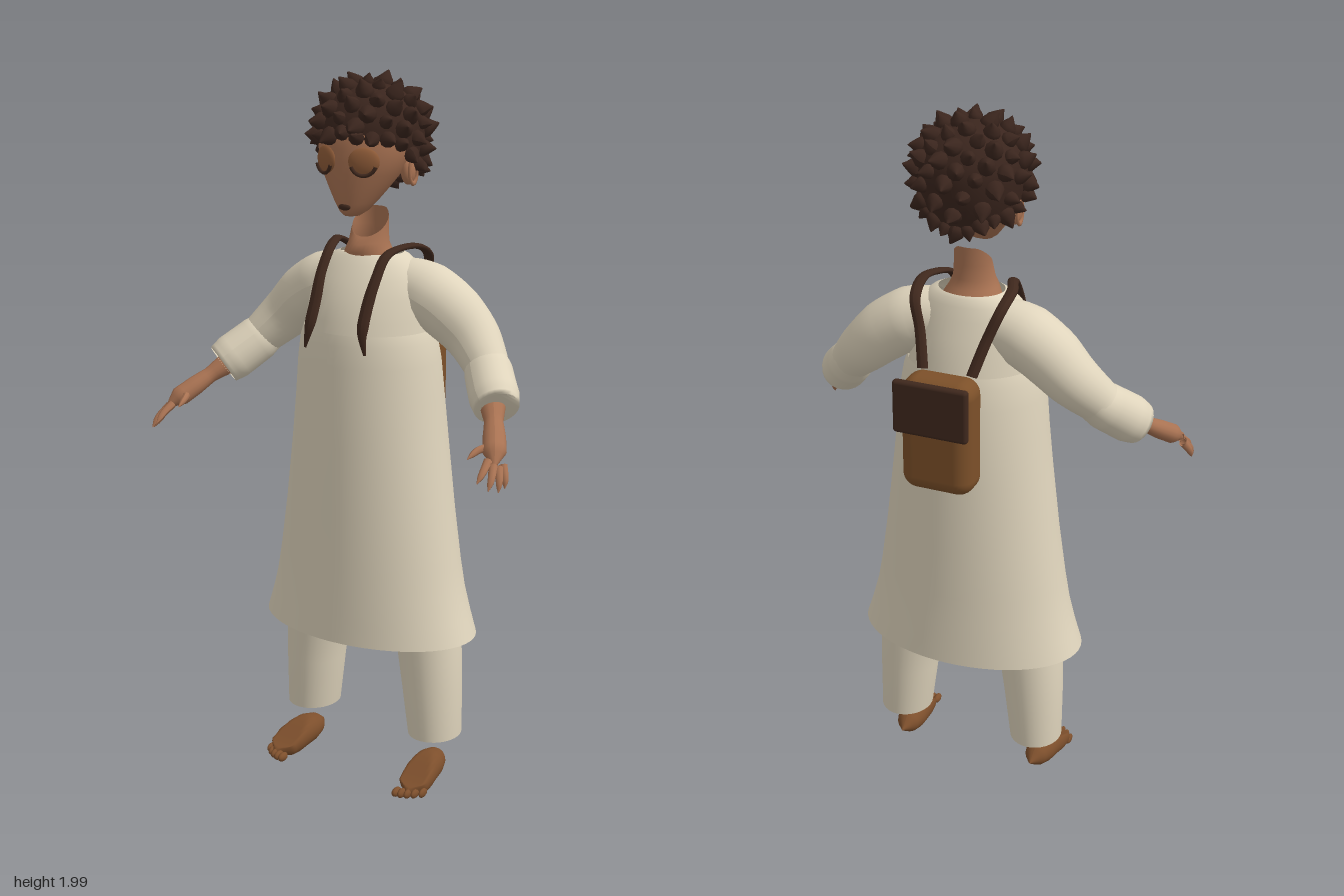
import * as THREE from 'three';
import { RoundedBoxGeometry } from 'three/addons/geometries/RoundedBoxGeometry.js';

const paint = (color) => new THREE.MeshStandardMaterial({ color, side: THREE.DoubleSide });
const V = (x, y, z) => new THREE.Vector3(x, y, z);

// Closed rings of points, listed upwards, joined into a smooth skin
function grid(rows, seg, pointAt) {
  const pos = [], idx = [];
  for (let i = 0; i < rows; i++)
    for (let j = 0; j < seg; j++) pos.push(...pointAt(i, (j / seg) * Math.PI * 2));
  for (let i = 0; i < rows - 1; i++)
    for (let j = 0; j < seg; j++) {
      const k = (j + 1) % seg, a = i * seg, b = a + seg;
      idx.push(a + j, a + k, b + k, a + j, b + k, b + j);
    }
  const g = new THREE.BufferGeometry();
  g.setAttribute('position', new THREE.Float32BufferAttribute(pos, 3));
  g.setIndex(idx);
  g.computeVertexNormals();
  return g;
}

// Elliptical rings [y, half width, front z, back z, centre x]
const loft = (rings, seg = 40) => grid(rings.length, seg, (i, a) => {
  const [y, w, f, b, cx = 0] = rings[i];
  return [cx + w * Math.sin(a), y, (f + b) / 2 + ((f - b) / 2) * Math.cos(a)];
});

// Tube whose radius follows a list, with optional squash of its section
function taper(points, radii, { n = 20, seg = 16, squash = [1, 1, 1] } = {}) {
  const path = new THREE.CatmullRomCurve3(points.map((p) => V(...p)));
  const g = new THREE.TubeGeometry(path, n, 1, seg, false);
  const p = g.attributes.position, v = V(), last = radii.length - 1;
  for (let i = 0; i <= n; i++) {
    const c = path.getPointAt(i / n), t = (i / n) * last, k = Math.min(Math.floor(t), last - 1);
    const r = THREE.MathUtils.lerp(radii[k], radii[k + 1], t - k);
    for (let j = 0; j <= seg; j++) {
      const q = i * (seg + 1) + j;
      v.fromBufferAttribute(p, q).sub(c).multiplyScalar(r).multiply(V(...squash)).add(c);
      p.setXYZ(q, v.x, v.y, v.z);
    }
  }
  g.computeVertexNormals();
  return g;
}

export function createModel() {
  const model = new THREE.Group();
  const cloth = paint(0xdfd4bc), skin = paint(0xa87252), footSkin = paint(0x7d4f2c);
  const hair = paint(0x3a251d), leather = paint(0x7c5029), dark = paint(0x3f281d), lidTone = paint(0x8e5b38);
  const add = (name, geo, mat, parent = model) => {
    const m = new THREE.Mesh(geo, mat);
    m.name = name;
    parent.add(m);
    return m;
  };
  const ball = (name, mat, pos, size, parent) => {
    const m = add(name, new THREE.SphereGeometry(1, 16, 12), mat, parent);
    m.position.set(...pos);
    m.scale.set(...size);
    return m;
  };

  // Long tunic: flared skirt and a bodice tucked into it
  add('tunicSkirt', loft([
    [0.44, 0.33, 0.2, -0.22], [0.5, 0.31, 0.197, -0.217], [0.57, 0.29, 0.194, -0.213],
    [0.65, 0.275, 0.191, -0.21], [0.8, 0.252, 0.187, -0.207], [1.0, 0.227, 0.182, -0.202],
    [1.12, 0.214, 0.178, -0.196], [1.22, 0.205, 0.174, -0.186], [1.28, 0.195, 0.17, -0.176], [1.31, 0.184, 0.164, -0.168],
  ], 56), cloth);
  add('tunicBodice', loft([
    [1.28, 0.183, 0.164, -0.165], [1.34, 0.177, 0.152, -0.155], [1.4, 0.172, 0.13, -0.138],
    [1.45, 0.16, 0.103, -0.122], [1.485, 0.135, 0.078, -0.11], [1.505, 0.11, 0.062, -0.1], [1.512, 0.092, 0.054, -0.092],
  ], 48), cloth);

  // Neck, cut lower at the front than at the back
  const neck = add('neck', loft([
    [1.48, 0.088, 0.052, -0.088], [1.515, 0.068, 0.06, -0.065], [1.54, 0.057, 0.05, -0.055],
    [1.58, 0.053, 0.035, -0.052], [1.63, 0.053, 0.03, -0.05],
  ], 32), skin);
  const np = neck.geometry.attributes.position;
  for (let i = 0; i < np.count; i++)
    if (np.getY(i) > 1.53) np.setY(i, Math.min(np.getY(i), 1.585 - np.getZ(i)));
  neck.geometry.computeVertexNormals();

  // Head
  const head = new THREE.Group();
  head.name = 'head';
  model.add(head);
  add('face', loft([
    [1.618, 0.001, 0.08, 0.079], [1.62, 0.02, 0.103, 0.055], [1.632, 0.036, 0.115, 0.025], [1.655, 0.055, 0.121, 0],
    [1.69, 0.08, 0.126, -0.035], [1.73, 0.107, 0.13, -0.07], [1.765, 0.124, 0.131, -0.09], [1.8, 0.133, 0.129, -0.115],
    [1.84, 0.134, 0.122, -0.125], [1.88, 0.12, 0.103, -0.12], [1.93, 0.08, 0.055, -0.08], [1.945, 0.001, 0, -0.001],
  ]), skin, head);
  ball('lips', dark, [0, 1.646, 0.117], [0.019, 0.009, 0.007], head);
  for (const s of [1, -1]) {
    const lid = ball('eyelid', lidTone, [s * 0.058, 1.768, 0.112], [0.042, 0.038, 0.014], head);
    lid.rotation.y = s * 0.42;
    const lash = add('lashes', new THREE.TorusGeometry(0.034, 0.005, 6, 20, Math.PI * 0.8), dark, head);
    lash.position.set(s * 0.062, 1.766, 0.121);
    lash.rotation.set(0, s * 0.42, Math.PI * 1.1);
    ball('ear', skin, [s * 0.118, 1.735, -0.012], [0.018, 0.036, 0.024], head);
    const rim = add('earRim', new THREE.TorusGeometry(0.024, 0.005, 8, 20), skin, head);
    rim.position.set(s * 0.132, 1.735, -0.014);
    rim.scale.set(0.8, 1.35, 1);
    rim.rotation.y = Math.PI / 2;
  }

  // Hair cap with a hairline that drops towards the nape, covered in pointed curls
  const onCap = (a, el) => {
    const c = Math.cos(el);
    return [0.145 * c * Math.sin(a), 1.838 + Math.sin(el) * (el < 0 ? 0.2 : 0.125), -0.015 + 0.142 * c * Math.cos(a)];
  };
  const hairline = (a) => Math.asin((0.005 - 0.07 * (1 - Math.cos(a))) / 0.2);
  add('hairCap', grid(15, 48, (i, a) => {
    const low = hairline(a);
    return onCap(a, low + (Math.PI / 2 - 0.001 - low) * (i / 14));
  }), hair, head);
  const curl = new THREE.LatheGeometry([[0.021, -0.012], [0.025, 0], [0.022, 0.012], [0.012, 0.024], [0.004, 0.034], [0, 0.037]]
    .map(([x, y]) => new THREE.Vector2(x, y)), 10);
  const cp = curl.attributes.position;
  for (let i = 0; i < cp.count; i++) cp.setX(i, cp.getX(i) + 10 * Math.max(0, cp.getY(i)) ** 2);
  curl.computeVertexNormals();
  const addCurl = (a, el, size, spin) => {
    const m = add('curl', curl, hair, head), p = V(...onCap(a, el));
    m.position.copy(p);
    m.quaternion.setFromUnitVectors(V(0, 1, 0), p.sub(V(0, 1.838, -0.015)).normalize());
    m.rotateY(spin);
    m.scale.setScalar(size);
  };
  for (let i = 0; i < 100; i++) {
    const el = Math.asin(1 - (2 * (i + 0.5)) / 100), a = i * 2.39996;
    if (el > hairline(a) + 0.12) addCurl(a, el, 0.72 + 0.3 * Math.abs(Math.sin(i * 7.3)), i * 1.9);
  }
  for (let i = 0; i < 22; i++) {
    const a = (i / 22) * Math.PI * 2;
    addCurl(a, hairline(a) + 0.05 * Math.sin(i * 5), 0.85 + 0.2 * Math.sin(i * 3.1), i * 2.3);
  }

  for (const s of [1, -1]) {
    const side = s > 0 ? 'left' : 'right';
    const limb = (name, pts, radii, mat, opt) =>
      add(side + name, taper(pts.map(([x, y, z]) => [s * x, y, z]), radii, opt), mat);

    // Sleeve with a turned-up cuff
    limb('Sleeve', [[0.08, 1.425, -0.035], [0.15, 1.41, -0.04], [0.225, 1.37, -0.045], [0.3, 1.305, -0.045], [0.37, 1.235, -0.01]],
      [0.075, 0.088, 0.084, 0.073, 0.06], cloth, { seg: 24 });
    limb('Cuff', [[0.352, 1.25, -0.03], [0.357, 1.245, -0.025], [0.4, 1.2, 0.025], [0.45, 1.15, 0.08], [0.447, 1.153, 0.077]],
      [0.055, 0.065, 0.066, 0.067, 0.058], cloth, { seg: 24, n: 16 });

    // Forearm, palm and fingers
    limb('Forearm', [[0.41, 1.18, 0.04], [0.465, 1.125, 0.125], [0.492, 1.095, 0.17], [0.512, 1.072, 0.205], [0.528, 1.05, 0.235], [0.53, 1.047, 0.24]],
      [0.042, 0.034, 0.025, 0.03, 0.031, 0.002], skin, { squash: [1, 0.85, 1] });
    const fingers = [
      [[0.51, 1.06, 0.235], [0.515, 1.04, 0.27], [0.515, 1.018, 0.3]],
      [[0.525, 1.05, 0.235], [0.537, 1.025, 0.265], [0.541, 1.0, 0.288]],
      [[0.535, 1.045, 0.225], [0.55, 1.018, 0.247], [0.556, 0.992, 0.262]],
      [[0.54, 1.048, 0.21], [0.555, 1.02, 0.226], [0.56, 0.996, 0.236]],
      [[0.497, 1.085, 0.185], [0.475, 1.08, 0.22], [0.465, 1.064, 0.262]],
    ];
    fingers.forEach((f, i) => limb(i < 4 ? 'Finger' : 'Thumb', f, [0.012, 0.011, 0.01, 0.008, 0.001], skin, { n: 10, seg: 8 }));

    // Trouser leg
    add(side + 'TrouserLeg', loft([
      [0.135, 0.068, 0.05, -0.105, s * 0.21], [0.13, 0.075, 0.056, -0.111, s * 0.21], [0.28, 0.085, 0.064, -0.116, s * 0.2],
      [0.44, 0.095, 0.07, -0.12, s * 0.186], [0.6, 0.105, 0.08, -0.12, s * 0.15], [0.8, 0.112, 0.09, -0.12, s * 0.112], [0.95, 0.1, 0.08, -0.11, s * 0.1],
    ], 32), cloth);

    // Foot, flattened to the ground and sloping down to the toes
    const foot = limb('Foot', [[0.21, 0.042, -0.072], [0.21, 0.042, -0.06], [0.212, 0.042, -0.02], [0.217, 0.04, 0.04], [0.224, 0.03, 0.1], [0.228, 0.018, 0.145], [0.229, 0.016, 0.157]],
      [0.002, 0.032, 0.043, 0.045, 0.046, 0.042, 0.002], footSkin, { n: 28, seg: 24 }).geometry;
    const fp = foot.attributes.position;
    for (let i = 0; i < fp.count; i++) {
      const top = 0.084 - 0.055 * THREE.MathUtils.smoothstep(fp.getZ(i), 0, 0.16);
      fp.setY(i, THREE.MathUtils.clamp(fp.getY(i), 0, top));
    }
    foot.computeVertexNormals();
    for (let i = 0; i < 5; i++)
      ball(side + 'Toe', footSkin, [s * (0.197 + i * 0.0165), 0.013, 0.16 - i * i * 0.0022], [0.0105 - i * 0.0007, 0.013, 0.02]);

    // Shoulder strap from the chest over to the bag
    limb('Strap', [[0.096, 1.265, 0.168], [0.085, 1.32, 0.163], [0.083, 1.39, 0.135], [0.088, 1.46, 0.1], [0.092, 1.515, 0.055],
      [0.11, 1.532, 0.0], [0.128, 1.53, -0.05], [0.122, 1.495, -0.115], [0.095, 1.42, -0.145], [0.07, 1.33, -0.185]],
      [0.002, 0.009, 0.009, 0.008, 0.008, 0.008, 0.008, 0.008, 0.008, 0.008], dark, { n: 48, seg: 12, squash: [2, 1, 1] });
  }

  // Backpack and its flap
  add('backpack', new RoundedBoxGeometry(0.205, 0.325, 0.115, 5, 0.045), leather).position.set(0, 1.173, -0.225);
  add('backpackFlap', new RoundedBoxGeometry(0.212, 0.15, 0.024, 3, 0.01), dark).position.set(0, 1.265, -0.293);

  return model;
}
